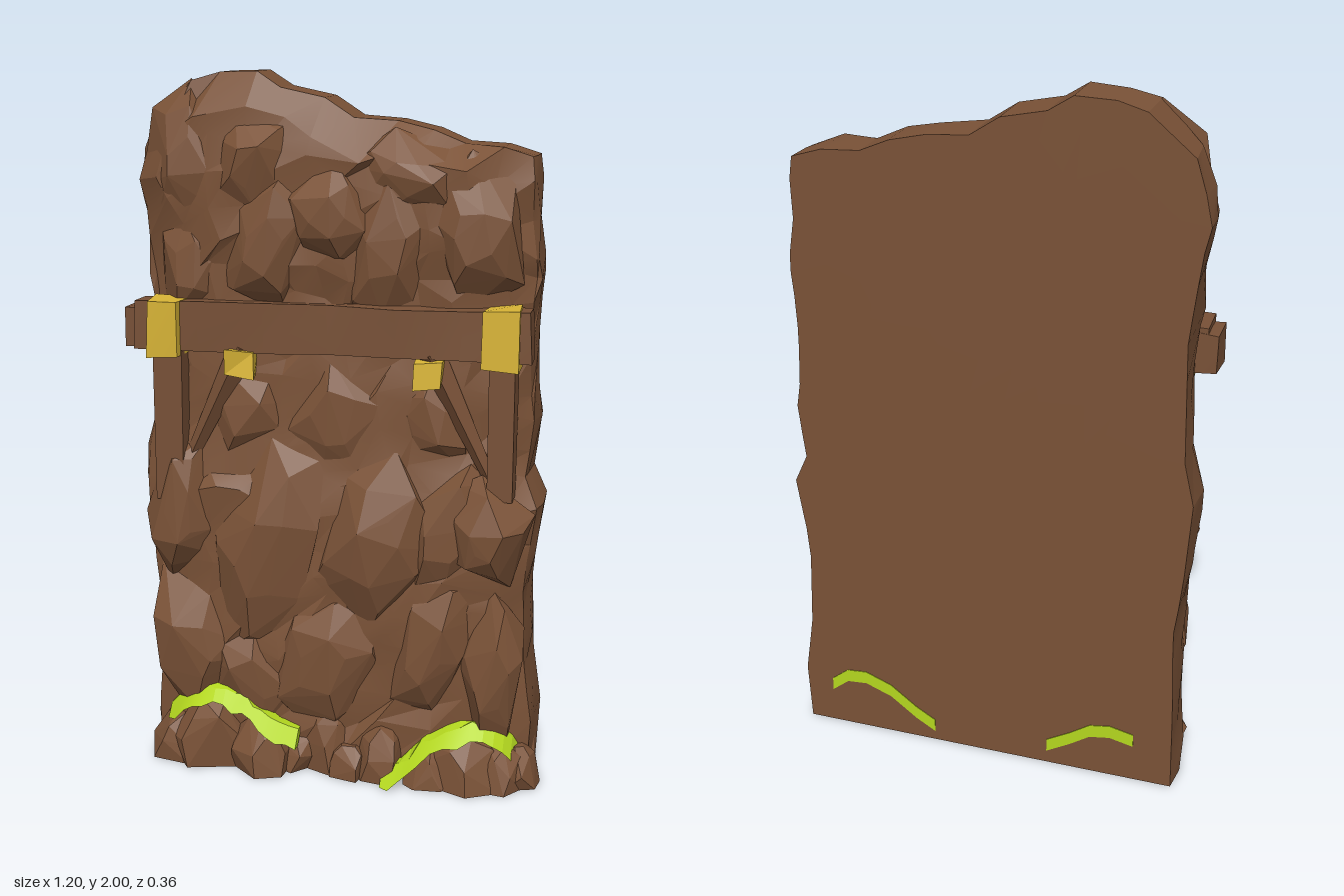
import * as THREE from 'three';
import { toCreasedNormals } from 'three/addons/utils/BufferGeometryUtils.js';
import { ConvexGeometry } from 'three/addons/geometries/ConvexGeometry.js';

const rock = new THREE.MeshStandardMaterial({ color: 0x7a5237 });
const wood = new THREE.MeshStandardMaterial({ color: 0x775036 });
const gold = new THREE.MeshStandardMaterial({ color: 0xd8b436 });
const moss = new THREE.MeshStandardMaterial({ color: 0xb4d81f });
rock.name = 'rock brown'; wood.name = 'timber brown'; gold.name = 'gold'; moss.name = 'moss green';

const BACK = -0.185;

// repeatable jitter in -1..1 from a position
function jitter(x, y, z, k) {
  const s = Math.sin(x * 127.1 + y * 311.7 + z * 74.7 + k * 53.3) * 43758.5453;
  return (s - Math.floor(s)) * 2 - 1;
}

// piecewise linear lookup in [position, value] pairs
function lookup(table, t) {
  if (t <= table[0][0]) return table[0][1];
  for (let i = 1; i < table.length; i++) {
    const [a, va] = table[i - 1], [b, vb] = table[i];
    if (t <= b) return va + (vb - va) * (t - a) / (b - a);
  }
  return table[table.length - 1][1];
}

// wall outline
const leftEdge = [[0, -0.565], [0.3, -0.56], [0.5, -0.55], [0.65, -0.57], [0.92, -0.588], [1, -0.56],
  [1.4, -0.55], [1.48, -0.575], [1.55, -0.565], [1.7, -0.6], [1.8, -0.565], [1.85, -0.55]];
const rightEdge = [[0, 0.565], [0.2, 0.575], [0.33, 0.55], [0.63, 0.54], [0.85, 0.575], [0.95, 0.53],
  [1.07, 0.56], [1.2, 0.54], [1.4, 0.54], [1.56, 0.555], [1.64, 0.53], [1.75, 0.545], [1.85, 0.53]];
const topEdge = [[-0.55, 1.87], [-0.4, 1.995], [-0.23, 2], [-0.14, 1.935], [-0.06, 1.94], [0.04, 1.875],
  [0.15, 1.87], [0.26, 1.845], [0.35, 1.805], [0.5, 1.805], [0.54, 1.77]];

// depth of the wall face by height, and how it falls back towards the sides
const faceDepth = [[0, 0.08], [0.2, 0.07], [0.6, 0.08], [0.84, 0.075], [0.95, 0.04], [1.35, 0.025],
  [1.55, 0.04], [1.75, 0.035], [1.9, 0.02], [2, 0]];
const sideFall = [[0, 0.08], [0.08, 0.03], [0.2, 0]];

function wallGeometry() {
  const nx = 11, ny = 22;
  const g = new THREE.BoxGeometry(1, 1, 1, nx, ny, 2), p = g.attributes.position;
  for (let i = 0; i < p.count; i++) {
    const i0 = Math.round((p.getX(i) + 0.5) * nx), j0 = Math.round((p.getY(i) + 0.5) * ny);
    const layer = Math.round((p.getZ(i) + 0.5) * 2);
    const side = i0 === 0 || i0 === nx, top = j0 === ny;
    let u = i0 / nx, v = j0 / ny;
    if (!side) u += 0.36 * jitter(i0, j0, 0, 1) / nx;
    if (j0 > 0 && !top) v += 0.36 * jitter(i0, j0, 0, 2) / ny;
    const l = lookup(leftEdge, v * 1.85), r = lookup(rightEdge, v * 1.85);
    let x = l + (r - l) * u, z = BACK;
    const y = v * lookup(topEdge, x);
    if (layer === 1) {
      z = -0.09 + 0.05 * jitter(i0, j0, 1, 3);
      if (side) x *= 1 + 0.015 * jitter(i0, j0, 1, 6);
    }
    if (layer === 2) {
      z = lookup(faceDepth, y) - lookup(sideFall, Math.min(x - l, r - x)) + 0.014 * jitter(i0, j0, 2, 4);
      if (side) x *= 0.98;
      if (top) z = -0.045 + 0.02 * jitter(i0, 0, 0, 5);
    }
    p.setXYZ(i, x, y, z);
  }
  return toCreasedNormals(g, 0.3);
}

// overlapping slabs on the wall face: x, y, half width, half height, lean, depth of crown
const slabs = [
  [-0.2, 0.65, 0.21, 0.36, 0.3, 0.12], [0.12, 0.69, 0.19, 0.3, 0.4, 0.135], [-0.45, 0.76, 0.13, 0.24, 0.1, 0.105],
  [0.31, 0.73, 0.14, 0.24, 0.25, 0.11], [0.44, 0.75, 0.14, 0.17, -0.2, 0.135], [0.46, 0.33, 0.13, 0.3, 0.15, 0.115],
  [0.27, 0.4, 0.14, 0.28, 0.35, 0.115], [-0.42, 0.36, 0.17, 0.28, -0.2, 0.105], [-0.03, 0.33, 0.19, 0.28, 0.4, 0.115],
  [-0.25, 0.27, 0.16, 0.22, -0.3, 0.1], [0, 1.06, 0.2, 0.24, 0.2, 0.06], [0.26, 1.06, 0.16, 0.2, -0.3, 0.055],
  [-0.27, 1.06, 0.16, 0.2, 0.4, 0.055], [-0.2, 1.53, 0.15, 0.24, 0.3, 0.08], [-0.42, 1.74, 0.17, 0.24, -0.1, 0.035],
  [-0.42, 1.47, 0.15, 0.2, 0.3, 0.035], [-0.24, 1.75, 0.14, 0.18, 0.4, 0.07], [-0.02, 1.62, 0.14, 0.17, -0.5, 0.085],
  [0.14, 1.53, 0.16, 0.27, 0.2, 0.07], [0.2, 1.72, 0.2, 0.13, 0.25, 0.06], [0.38, 1.57, 0.15, 0.23, -0.1, 0.07]];

function slabGeometry([x, y, rx, ry, lean, h], seed) {
  const pts = [], c = Math.cos(lean), s = Math.sin(lean);
  for (const [scale, drop] of [[1, 0.09], [0.7, 0.03], [0.35, 0]]) {
    for (let k = 0; k < 5; k++) {
      const a = (k + 0.35 * jitter(k, scale, seed, 1)) * Math.PI * 0.4 + seed * 2;
      const px = rx * scale * Math.cos(a), py = ry * scale * Math.sin(a);
      const wy = Math.max(0, y - px * s + py * c);
      const wx = THREE.MathUtils.clamp(x + px * c + py * s,
        lookup(leftEdge, wy) + 0.006, lookup(rightEdge, wy) - 0.006);
      pts.push(new THREE.Vector3(wx, wy, h - drop + 0.012 * jitter(k, scale, seed, 2)));
    }
  }
  return new ConvexGeometry(pts);
}

// boulder on the ground with faceted sides
function boulder(x, z, rx, rz, h, seed) {
  const pts = [];
  for (const [f, s] of [[0, 1], [0.45, 0.92], [0.8, 0.7], [1, 0.4]]) {
    for (let k = 0; k < 5; k++) {
      const a = (k + 0.4 * jitter(k, f, seed, 1)) * Math.PI * 0.4 + seed, m = s * (1 + 0.08 * jitter(k, f, seed, 2));
      pts.push(new THREE.Vector3(x + rx * m * Math.cos(a),
        f ? h * f * (1 + 0.08 * jitter(k, f, seed, 3)) : 0, z + rz * m * Math.sin(a)));
    }
  }
  return new ConvexGeometry(pts);
}

// roughly hewn block between two corners
function block(x0, x1, y0, y1, z0, z1, nx, rough) {
  const g = new THREE.BoxGeometry(x1 - x0, y1 - y0, z1 - z0, nx, 1, 1), p = g.attributes.position;
  g.translate((x0 + x1) / 2, (y0 + y1) / 2, (z0 + z1) / 2);
  for (let i = 0; i < p.count; i++) {
    const q = [p.getX(i), p.getY(i), p.getZ(i)].map(n => Math.round(n * 1000) / 1000);
    p.setXYZ(i, ...q.map((n, k) => n + rough * jitter(...q, k)));
  }
  return toCreasedNormals(g, 0.2);
}

// tapering strut between two points
function strut(a, b, r0, r1) {
  const d = b.clone().sub(a);
  const g = new THREE.CylinderGeometry(r1, r0, d.length(), 4);
  g.applyQuaternion(new THREE.Quaternion().setFromUnitVectors(new THREE.Vector3(0, 1, 0), d.normalize()));
  g.translate((a.x + b.x) / 2, (a.y + b.y) / 2, (a.z + b.z) / 2);
  return toCreasedNormals(g, 0.2);
}

// ragged moss sheet draped along points, sloping down to the front
function mossDrape(points) {
  const curve = new THREE.CatmullRomCurve3(points.map(q => new THREE.Vector3(...q)));
  const g = new THREE.BoxGeometry(1, 1, 1, 14, 1, 1), p = g.attributes.position;
  for (let i = 0; i < p.count; i++) {
    const t = Math.min(1, Math.max(0, p.getX(i) + 0.5)), c = curve.getPoint(t);
    const step = Math.round(t * 14), py = p.getY(i), pz = p.getZ(i);
    const ragged = 1 + 0.4 * jitter(step, py, pz, 1);
    p.setXYZ(i, c.x, Math.max(0.003, c.y + py * 0.042 * ragged), c.z + pz * 0.04 - py * 0.045 * ragged);
  }
  return toCreasedNormals(g, 0.2);
}

// thin moss plate lying on the back face
function mossPlate(points) {
  const top = points.map(([x, y]) => new THREE.Vector2(x, y + 0.02));
  const low = points.map(([x, y]) => new THREE.Vector2(x, y - 0.02)).reverse();
  const g = new THREE.ExtrudeGeometry(new THREE.Shape([...top, ...low]), { depth: 0.004, bevelEnabled: false });
  return g.translate(0, 0, BACK - 0.002);
}

export function createModel() {
  const model = new THREE.Group();
  const add = (name, geometry, material) => {
    const mesh = new THREE.Mesh(geometry, material);
    mesh.name = name;
    model.add(mesh);
  };

  add('rockWall', wallGeometry(), rock);
  slabs.forEach((slab, i) => add('rockSlab' + (i + 1), slabGeometry(slab, i + 1), rock));

  // boulders along the foot: x, z, half width, half depth, height
  [[-0.475, 0.04, 0.09, 0.09, 0.13], [-0.37, 0.065, 0.13, 0.095, 0.19], [-0.21, 0.085, 0.1, 0.09, 0.15],
    [-0.12, 0.05, 0.08, 0.07, 0.11], [-0.02, 0.045, 0.09, 0.07, 0.19], [0.05, 0.085, 0.07, 0.06, 0.09],
    [0.14, 0.07, 0.09, 0.075, 0.15], [0.28, 0.085, 0.08, 0.07, 0.1], [0.38, 0.075, 0.13, 0.09, 0.15],
    [0.48, 0.05, 0.09, 0.09, 0.12], [0.53, 0.02, 0.065, 0.1, 0.11]]
    .forEach(([x, z, rx, rz, h], i) => add('boulder' + (i + 1), boulder(x, z, rx, rz, h, i + 1), rock));

  // timber frame
  add('beam', block(-0.57, 0.54, 1.24, 1.375, -0.025, 0.08, 6, 0.005), wood);
  add('beamEnd', block(-0.598, -0.53, 1.245, 1.355, -0.03, 0.075, 1, 0.004), wood);
  add('rightPost', block(-0.52, -0.435, 0.8, 1.25, 0, 0.08, 1, 0.003), wood);
  add('leftPost', block(0.43, 0.5, 0.85, 1.25, 0, 0.08, 1, 0.003), wood);

  // gold wraps around the joints
  add('rightWrap', block(-0.528, -0.435, 1.22, 1.38, -0.005, 0.107, 1, 0.006), gold);
  add('leftWrap', block(0.415, 0.508, 1.22, 1.382, -0.005, 0.107, 1, 0.006), gold);

  // braces with small wraps
  for (const s of [-1, 1]) {
    const side = s < 0 ? 'right' : 'left', x = s * 0.265;
    add(side + 'Brace', strut(new THREE.Vector3(s * 0.45, 0.87, 0.04),
      new THREE.Vector3(x, 1.25, 0.045), 0.015, 0.04), wood);
    add(side + 'BraceWrap', block(x - 0.038, x + 0.035, 1.165, 1.24, 0, 0.092, 1, 0.012), gold);
  }

  // moss over the boulders
  add('rightMoss', mossDrape([[-0.5, 0.14, 0.05], [-0.42, 0.2, 0.085], [-0.33, 0.225, 0.095],
    [-0.25, 0.19, 0.1], [-0.18, 0.14, 0.12], [-0.1, 0.11, 0.105]]), moss);
  add('leftMoss', mossDrape([[0.15, 0.015, 0.125], [0.21, 0.05, 0.13], [0.28, 0.12, 0.11], [0.37, 0.165, 0.1],
    [0.45, 0.165, 0.085], [0.51, 0.125, 0.06], [0.545, 0.06, 0.01]]), moss);

  // moss showing on the back face
  add('leftBackMoss', mossPlate([[0.16, 0.05], [0.22, 0.085], [0.3, 0.145], [0.38, 0.175], [0.44, 0.17], [0.49, 0.13]]), moss);
  add('rightBackMoss', mossPlate([[-0.45, 0.135], [-0.38, 0.15], [-0.32, 0.14], [-0.26, 0.1], [-0.19, 0.06]]), moss);

  return model;
}
